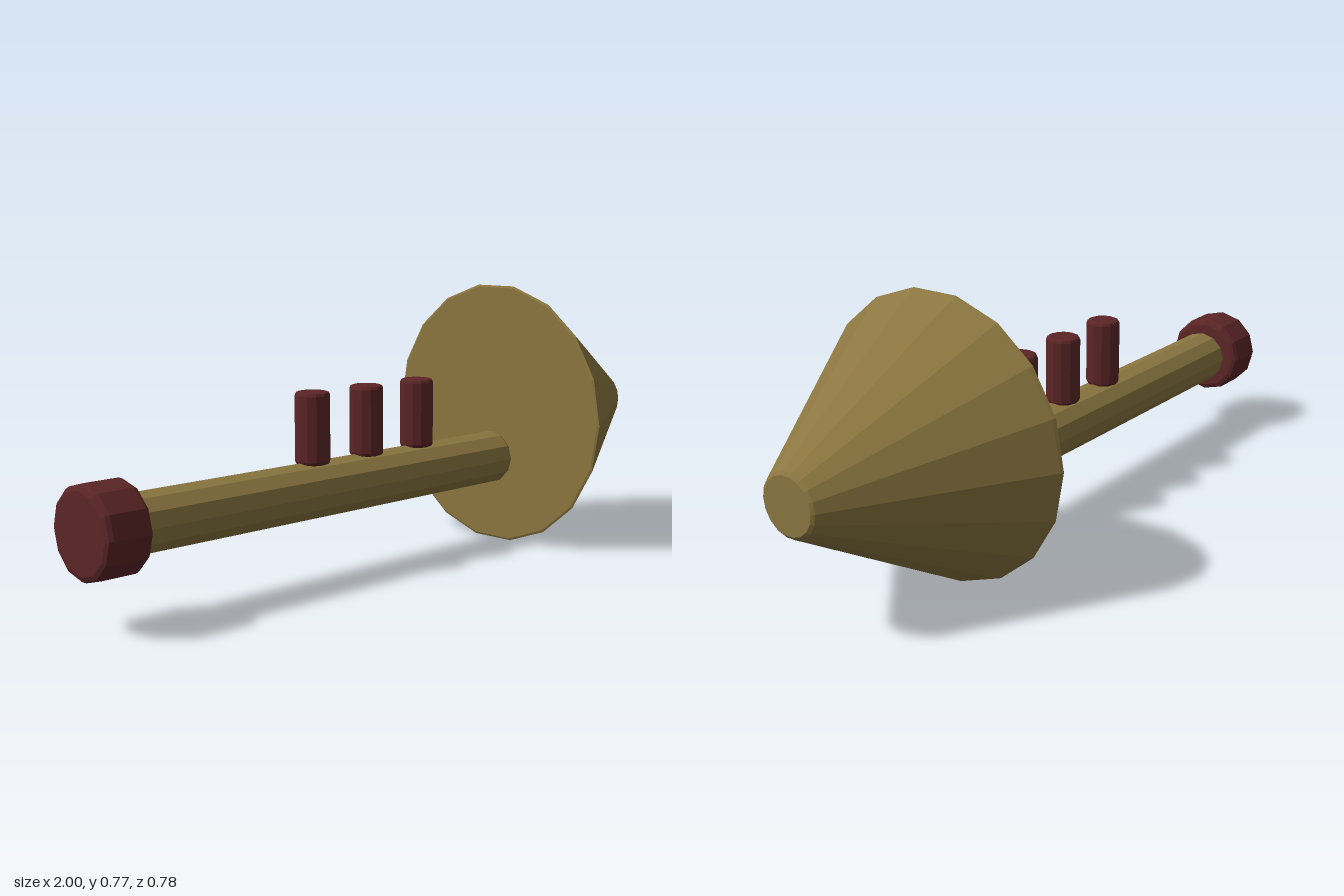
import * as THREE from 'three';

export function createModel() {
  const group = new THREE.Group();
  const brass = new THREE.MeshStandardMaterial({ color: 0x8b7640, flatShading: true });
  brass.name = 'brass';
  const darkRed = new THREE.MeshStandardMaterial({ color: 0x5b2526, flatShading: true });
  darkRed.name = 'darkRed';

  // Solid of revolution from [radius, height] pairs, rising along y
  const turned = (pairs, sides) =>
    new THREE.LatheGeometry(pairs.map(([r, h]) => new THREE.Vector2(r, h)), sides);

  // Cylinder with softened rims, starting at height 0
  const rod = (r, h, b, sides) => turned([
    [0, 0], [r - b, 0], [r - b * 0.3, b * 0.3], [r, b],
    [r, h - b], [r - b * 0.3, h - b * 0.3], [r - b, h], [0, h],
  ], sides);

  const add = (name, geometry, material, x, y) => {
    const mesh = new THREE.Mesh(geometry, material);
    mesh.name = name;
    mesh.position.set(x, y, 0);
    group.add(mesh);
    return mesh;
  };
  const alongX = (geometry) => geometry.rotateZ(-Math.PI / 2);

  // Main tube and mouthpiece
  add('tube', alongX(rod(0.078, 1.34, 0.015, 12)), brass, -0.87, 0.254);
  add('mouthpiece', alongX(rod(0.119, 0.13, 0.016, 12)), darkRed, -1, 0.254);

  // Flared bell, narrowing to a blunt rounded tip
  const bell = turned([
    [0, 0], [0.384, 0], [0.39, 0.003], [0.386, 0.012],
    [0.09, 0.512], [0.083, 0.524], [0.075, 0.53], [0, 0.53],
  ], 18);
  add('bell', alongX(bell), brass, 0.47, 0.385);

  // Three valve buttons on top of the tube
  for (const x of [-0.27, -0.07, 0.13]) {
    add('valve', rod(0.048, 0.195, 0.01, 12), darkRed, x, 0.325);
  }
  return group;
}
